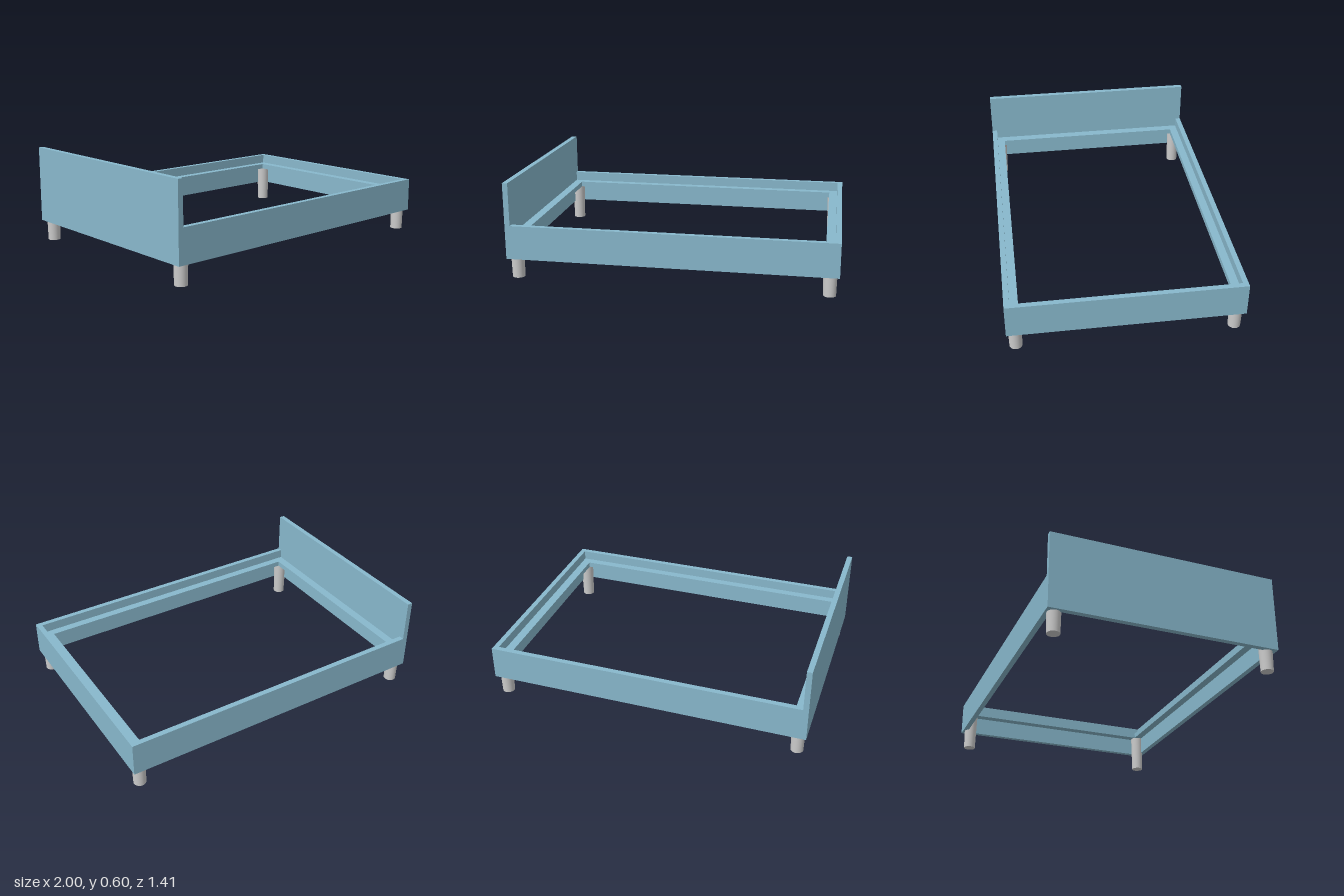
import * as THREE from 'three';

const W = 1, D = 0.705, T = 0.033;      // half length, half depth, board thickness
const BASE = 0.125, RAIL_TOP = 0.335, HEAD_TOP = 0.6;

// Flat plan outline (x, z) raised from y0 to y1
function raise(points, hole, y0, y1, material, name) {
  const toVectors = (list) => list.map(([x, z]) => new THREE.Vector2(x, z));
  const shape = new THREE.Shape(toVectors(points));
  if (hole) shape.holes.push(new THREE.Path(toVectors(hole)));
  const geometry = new THREE.ExtrudeGeometry(shape, { depth: y1 - y0, bevelEnabled: false });
  geometry.rotateX(-Math.PI / 2).translate(0, y0, 0);
  const mesh = new THREE.Mesh(geometry, material);
  mesh.name = name;
  return mesh;
}

const rect = (x, z) => [[-x, -z], [x, -z], [x, z], [-x, z]];

export function createModel() {
  const bed = new THREE.Group();
  bed.name = 'bedFrame';
  const blue = new THREE.MeshStandardMaterial({ color: 0x88b8cc });
  const grey = new THREE.MeshStandardMaterial({ color: 0xcccccc });

  // Tall headboard across the full width
  const headboard = new THREE.Mesh(new THREE.BoxGeometry(T, HEAD_TOP - BASE, 2 * D), blue);
  headboard.position.set(-W + T / 2, (HEAD_TOP + BASE) / 2, 0);
  headboard.name = 'headboard';
  bed.add(headboard);

  // Side rails and footboard as one U-shaped band
  const xi = W - T, zi = D - T;
  bed.add(raise(
    [[-xi, -D], [W, -D], [W, D], [-xi, D], [-xi, zi], [xi, zi], [xi, -zi], [-xi, -zi]],
    null, BASE, RAIL_TOP, blue, 'sideRailsAndFootboard'));

  // Inner ledge that carries the mattress base
  bed.add(raise(rect(xi, zi), rect(0.912, 0.622), 0.24, 0.275, blue, 'mattressLedge'));

  // Slightly tapered round legs reaching up to the ledge
  const legGeometry = new THREE.CylinderGeometry(0.043, 0.038, 0.24, 32);
  for (const sx of [-1, 1]) {
    for (const sz of [-1, 1]) {
      const leg = new THREE.Mesh(legGeometry, grey);
      leg.position.set(sx * 0.945, 0.12, sz * 0.652);
      leg.name = (sx < 0 ? 'headboard' : 'footboard') + (sz < 0 ? 'BackLeg' : 'FrontLeg');
      bed.add(leg);
    }
  }
  return bed;
}
